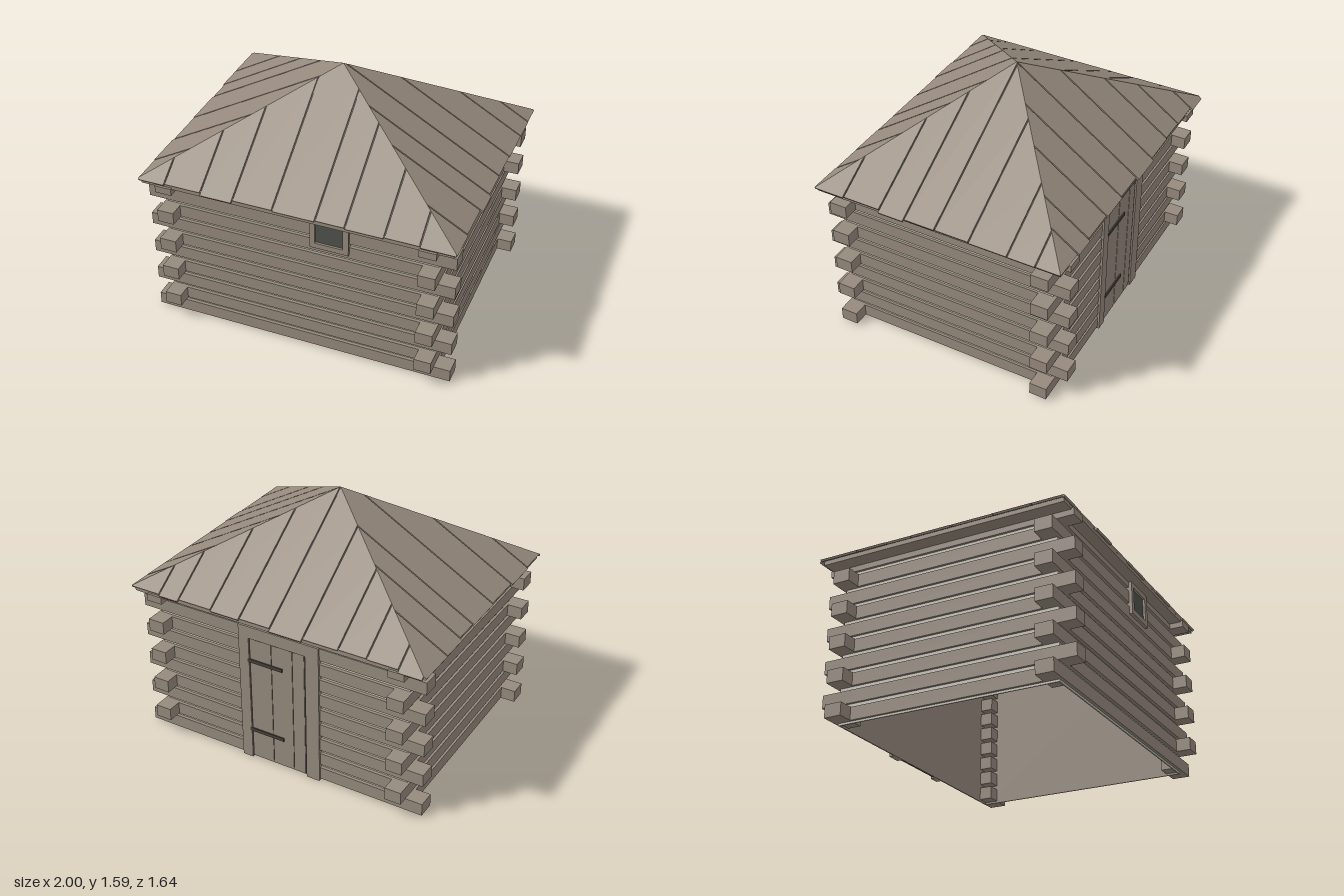
import * as THREE from 'three';

const mat = (name, color) => {
  const m = new THREE.MeshStandardMaterial({ color });
  m.name = name;
  return m;
};

export function createModel() {
  const wood = mat('weathered wood', 0x968a7d);
  const chink = mat('pale chinking', 0xc8c5b7);
  const glass = mat('dark glass', 0x4f534c);
  const dark = mat('dark gaps and iron', 0x46413b);

  const cabin = new THREE.Group();
  cabin.name = 'logCabin';
  const group = (name) => {
    const g = new THREE.Group();
    g.name = name;
    cabin.add(g);
    return g;
  };
  // Box from its low and high corners
  const box = (parent, name, material, x0, x1, y0, y1, z0, z1) => {
    const m = new THREE.Mesh(new THREE.BoxGeometry(x1 - x0, y1 - y0, z1 - z0), material);
    m.position.set((x0 + x1) / 2, (y0 + y1) / 2, (z0 + z1) / 2);
    m.name = name;
    parent.add(m);
    return m;
  };
  // Box on the +x or -x side / +z or -z side
  const mx = (s, a, b) => (s > 0 ? [a, b] : [-b, -a]);

  // Wall shell: pale mortar outside, wood lining inside, open below
  const shell = group('wallShell');
  for (const s of [1, -1]) {
    box(shell, 'chinking', chink, -0.855, 0.855, 0, 1.0, ...mx(s, 0.696, 0.7));
    box(shell, 'chinking', chink, ...mx(s, 0.851, 0.855), 0, 1.0, -0.7, 0.7);
    box(shell, 'lining', wood, -0.851, 0.851, 0, 1.0, ...mx(s, 0.692, 0.696));
    box(shell, 'lining', wood, ...mx(s, 0.847, 0.851), 0, 1.0, -0.696, 0.696);
  }

  // Log courses with corner ends that alternate direction
  const logs = group('logs');
  for (let i = 0; i < 10; i++) {
    const y0 = 0.013 + i * 0.1057, y1 = Math.min(y0 + 0.081, 1.01);
    const even = i % 2 === 0;
    const endX = even ? 0.965 : 0.87, endZ = even ? 0.72 : 0.81;
    for (const s of [1, -1]) {
      box(logs, 'wallLog', wood, -0.765, 0.765, y0, y1, ...mx(s, 0.698, 0.72));
      box(logs, 'wallLog', wood, ...mx(s, 0.853, 0.87), y0, y1, -0.61, 0.61);
      for (const t of [1, -1]) {
        box(logs, 'logEnd', wood, ...mx(s, 0.765, endX), y0, y1, ...mx(t, 0.61, endZ));
      }
    }
  }

  // Front window
  const win = group('window');
  box(win, 'frameSide', wood, 0.085, 0.117, 0.785, 1.005, 0.7, 0.74);
  box(win, 'frameSide', wood, 0.29, 0.325, 0.785, 1.005, 0.7, 0.74);
  box(win, 'frameRail', wood, 0.117, 0.29, 0.785, 0.82, 0.7, 0.74);
  box(win, 'frameRail', wood, 0.117, 0.29, 0.97, 1.005, 0.7, 0.74);
  box(win, 'pane', glass, 0.117, 0.29, 0.82, 0.97, 0.718, 0.726);

  // Back door
  const door = group('door');
  box(door, 'post', wood, 0.2, 0.27, 0, 0.945, -0.732, -0.7);
  box(door, 'post', wood, -0.28, -0.19, 0, 0.945, -0.732, -0.7);
  box(door, 'lintel', wood, -0.19, 0.2, 0.865, 0.945, -0.732, -0.7);
  box(door, 'doorGaps', dark, -0.19, 0.2, 0.01, 0.865, -0.722, -0.716);
  const cuts = [-0.182, -0.1, 0.045, 0.195];
  for (let i = 0; i < 3; i++) {
    box(door, 'plank', wood, cuts[i] + 0.003, cuts[i + 1] - 0.003, 0.012, 0.86, -0.726, -0.716);
  }
  for (const y of [0.2, 0.7]) {
    box(door, 'hingeStrap', dark, -0.03, 0.21, y, y + 0.022, -0.734, -0.726);
  }

  // Roof: eaves slab, dark underlay and plank-covered hips
  const roof = group('roof');
  const W = 0.98, D = 0.8, eave = 1.035, H = 0.557;
  box(roof, 'eavesSlab', wood, -0.965, 0.965, 1.0, 1.035, -0.795, 0.795);
  const cone = new THREE.ConeGeometry(Math.SQRT2, H, 4, 1).rotateY(Math.PI / 4);
  const under = new THREE.Mesh(cone.toNonIndexed(), dark);
  under.geometry.scale(W - 0.005, 1, D - 0.005);
  under.geometry.computeVertexNormals();
  under.position.y = eave - 0.008 + H / 2;
  under.name = 'roofUnderlay';
  roof.add(under);

  // Each side: turn, half width, reach, seams, overhang of each plank
  const sides = [
    ['front', 0, W, D, [-0.81, -0.575, -0.37, -0.12, 0.145, 0.325, 0.56, 0.77],
      [0.012, 0.004, 0.02, 0.004, 0.01, 0.004, 0.01, 0.004, 0.012]],
    ['right', Math.PI / 2, D, W, [-0.605, -0.36, -0.19, 0.01, 0.23, 0.475, 0.65],
      [0.008, 0.002, 0.021, 0.008, 0.006, 0.011, 0.012, 0.01]],
    ['back', Math.PI, W, D, [-0.78, -0.64, -0.41, -0.21, 0, 0.22, 0.45, 0.63, 0.83],
      [0.008, 0.018, 0.004, 0.013, 0.004, 0.024, 0.007, 0.002, 0.006, 0.025]],
    ['left', -Math.PI / 2, D, W, [-0.54, -0.35, -0.18, 0.09, 0.36, 0.6],
      [0.022, 0.02, 0, 0.008, 0, 0.01, 0]],
  ];
  const gap = 0.004, thick = 0.014;
  for (const [name, turn, w, d, seams, over] of sides) {
    const side = new THREE.Group();
    side.name = name + 'RoofPlanks';
    side.rotation.y = turn;
    roof.add(side);
    const len = Math.hypot(H, d);
    const top = (u) => len * (1 - Math.abs(u) / w);
    const edges = [-w, ...seams, w];
    over.forEach((o, i) => {
      const a = edges[i] + (i ? gap : 0);
      const b = edges[i + 1] - (i < seams.length ? gap : 0);
      const pts = [[a, -o], [b, -o], [b, top(b)]];
      if (a < 0 && b > 0) pts.push([0, len]);
      pts.push([a, top(a)]);
      const shape = new THREE.Shape(pts.map((p) => new THREE.Vector2(...p)));
      const geo = new THREE.ExtrudeGeometry(shape, { depth: thick, bevelEnabled: false });
      geo.translate(0, 0, -thick);
      const plank = new THREE.Mesh(geo, wood);
      plank.rotation.x = -Math.atan2(d, H);
      plank.position.set(0, eave, d);
      plank.name = 'roofPlank';
      side.add(plank);
    });
  }
  return cabin;
}
